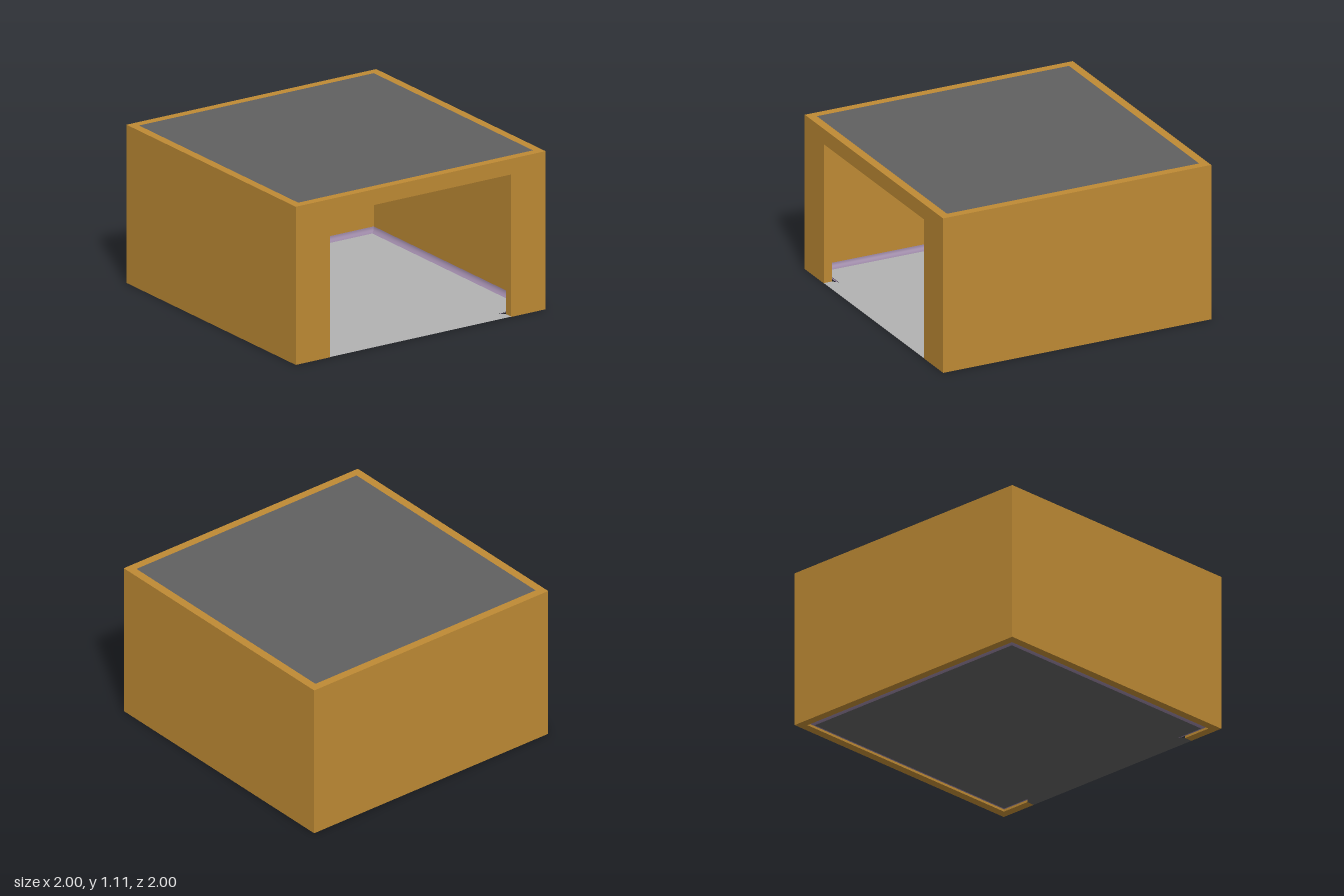
import * as THREE from 'three';

const H = 1.11;        // wall height
const W = 1;           // outer half width
const I = 0.94;        // inner half width
const DOOR = 0.725;    // half width of the doorway
const DOOR_H = 1.0;
const R = 0.035;       // radius of the cove between wall and floor

const mat = (color, side = THREE.FrontSide) => new THREE.MeshStandardMaterial({ color, side });
const shapeOf = (pts) => new THREE.Shape(pts.map(([x, y]) => new THREE.Vector2(x, y)));

// Curved strip along one wall; ends are mitred along the given inward directions
function coveStrip([ax, az, adx, adz], [bx, bz, bdx, bdz]) {
  const N = 8, pos = [], idx = [];
  for (let i = 0; i <= N; i++) {
    const t = (i / N) * Math.PI / 2;
    const d = R * (1 - Math.cos(t)), y = R * (1 - Math.sin(t));
    pos.push(ax + adx * d, y, az + adz * d, bx + bdx * d, y, bz + bdz * d);
    if (i < N) {
      const k = i * 2;
      idx.push(k, k + 1, k + 2, k + 1, k + 3, k + 2);
    }
  }
  const g = new THREE.BufferGeometry();
  g.setAttribute('position', new THREE.Float32BufferAttribute(pos, 3));
  g.setIndex(idx);
  g.computeVertexNormals();
  return g;
}

export function createModel() {
  const model = new THREE.Group();
  model.name = 'garage';
  const add = (name, geometry, material) => {
    const m = new THREE.Mesh(geometry, material);
    m.name = name;
    model.add(m);
    return m;
  };
  const wall = mat(0xbe8a34);
  const dark = 0x606060;

  // Back and side walls as one U-shaped plan (shape y is -z)
  const plan = shapeOf([[-W, -I], [-I, -I], [-I, I], [I, I], [I, -I], [W, -I], [W, W], [-W, W]]);
  const sides = new THREE.ExtrudeGeometry(plan, { depth: H, bevelEnabled: false });
  sides.rotateX(-Math.PI / 2);
  add('sideAndBackWalls', sides, wall);

  // Front wall with the doorway cut out
  const front = shapeOf([[-W, 0], [-DOOR, 0], [-DOOR, DOOR_H], [DOOR, DOOR_H],
    [DOOR, 0], [W, 0], [W, H], [-W, H]]);
  const frontGeo = new THREE.ExtrudeGeometry(front, { depth: W - I, bevelEnabled: false });
  frontGeo.translate(0, 0, I);
  add('frontWall', frontGeo, wall);

  // Flat roof panel, flush with the wall tops
  const roof = new THREE.PlaneGeometry(2 * I, 2 * I);
  roof.rotateX(-Math.PI / 2);
  add('roof', roof, mat(dark, THREE.DoubleSide)).position.y = H;

  // Floor and its underside, reaching out through the doorway
  const F = I - R, T = DOOR - R;
  const outline = [[-F, -F], [F, -F], [F, F], [T, F], [DOOR, I], [DOOR, W],
    [-DOOR, W], [-DOOR, I], [-T, F], [-F, F]];
  const flat = (sign) => new THREE.ShapeGeometry(shapeOf(outline.map(([x, z]) => [x, -sign * z])))
    .rotateX(-sign * Math.PI / 2);
  add('floor', flat(1), mat(0xb2b2b2)).position.y = 0.002;
  add('floorUnderside', flat(-1), mat(dark));

  // Cove running round the inside from one door jamb to the other
  const cove = new THREE.Group();
  cove.name = 'floorCove';
  const coveMat = mat(0x9a86a4, THREE.DoubleSide);
  const path = [[DOOR, I, -1, -1], [I, I, -1, -1], [I, -I, -1, 1],
    [-I, -I, 1, 1], [-I, I, 1, -1], [-DOOR, I, 1, -1]];
  for (let i = 0; i < path.length - 1; i++) {
    const strip = new THREE.Mesh(coveStrip(path[i], path[i + 1]), coveMat);
    strip.name = 'coveStrip';
    cove.add(strip);
  }
  model.add(cove);
  return model;
}
